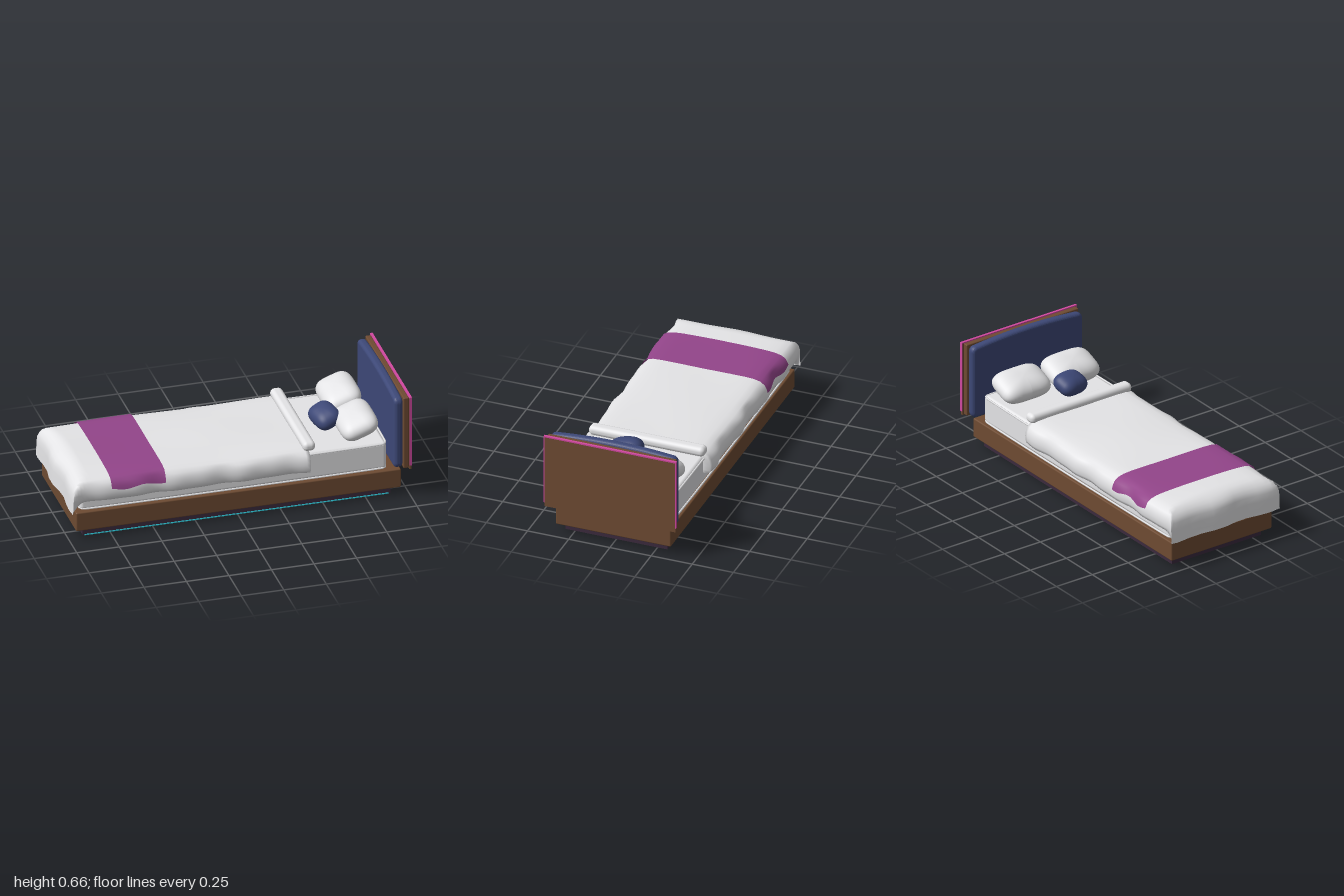
import * as THREE from 'three';
import { RoundedBoxGeometry } from 'three/addons/geometries/RoundedBoxGeometry.js';

const mat = (name, color, side = THREE.FrontSide) => {
  const m = new THREE.MeshStandardMaterial({ color, side });
  m.name = name;
  return m;
};

export function createModel() {
  const bed = new THREE.Group();
  bed.name = 'bed';
  const linen = mat('white linen', 0xe4e4e6, THREE.DoubleSide);
  const wood = mat('brown wood', 0x6e4b32);
  const navy = mat('navy fabric', 0x3d4877);
  const purple = mat('purple runner', 0x93458a, THREE.DoubleSide);
  const dark = mat('dark plinth', 0x3b2a3d);
  const pink = mat('pink trim', 0xd0489f);
  const cyan = mat('cyan light strip', 0x30c8d8);

  const add = (name, geometry, material) => {
    const mesh = new THREE.Mesh(geometry, material);
    mesh.name = name;
    bed.add(mesh);
    return mesh;
  };
  // Box given by its limits, with optional rounded edges
  const box = (name, material, [x0, x1], [y0, y1], [z0, z1], r = 0) => {
    const size = [x1 - x0, y1 - y0, z1 - z0];
    const g = r ? new RoundedBoxGeometry(...size, 3, r) : new THREE.BoxGeometry(...size);
    g.translate((x0 + x1) / 2, (y0 + y1) / 2, (z0 + z1) / 2);
    return add(name, g, material);
  };

  // Base
  box('plinth', dark, [-0.91, 0.9], [0, 0.05], [-0.31, 0.31]);
  box('lightStrip', cyan, [-0.9, 0.89], [0, 0.006], [0.31, 0.314]);
  box('bedFrame', wood, [-0.96, 0.95], [0.05, 0.168], [-0.35, 0.35], 0.008);
  box('mattress', linen, [-0.93, 0.87], [0.172, 0.34], [-0.332, 0.332], 0.02);

  // Mattress piping, top and bottom
  const ring = [];
  for (const [sx, sz, start] of [[1, 1, 0], [-1, 1, 1], [-1, -1, 2], [1, -1, 3]]) {
    for (let i = 0; i <= 4; i++) {
      const a = (start + i / 4) * Math.PI / 2;
      ring.push(new THREE.Vector3(-0.03 + sx * 0.87 + 0.03 * Math.cos(a), 0,
        sz * 0.302 + 0.03 * Math.sin(a)));
    }
  }
  const pipe = new THREE.CatmullRomCurve3(ring, true);
  for (const y of [0.18, 0.332]) {
    add('mattressPiping', new THREE.TubeGeometry(pipe, 240, 0.006, 6, true), linen).position.y = y;
  }

  // Headboard
  box('headboardPanel', wood, [0.953, 0.985], [0.19, 0.64], [-0.39, 0.39], 0.006);
  box('headboardBack', wood, [0.985, 0.999], [0.185, 0.637], [-0.397, 0.397]);
  box('trimTop', pink, [0.985, 1], [0.637, 0.645], [-0.402, 0.402]);
  for (const s of [-1, 1]) {
    box('trimSide', pink, [0.985, 1], [0.21, 0.637], [s * 0.3995 - 0.0025, s * 0.3995 + 0.0025]);
  }

  // Padded headboard front with a gently bowed top
  const pad = new THREE.Shape();
  pad.moveTo(-0.35, 0.21);
  pad.lineTo(0.35, 0.21);
  pad.quadraticCurveTo(0.365, 0.21, 0.365, 0.225);
  pad.lineTo(0.365, 0.6);
  pad.quadraticCurveTo(0.365, 0.617, 0.35, 0.617);
  pad.quadraticCurveTo(0, 0.653, -0.35, 0.617);
  pad.quadraticCurveTo(-0.365, 0.617, -0.365, 0.6);
  pad.lineTo(-0.365, 0.225);
  pad.quadraticCurveTo(-0.365, 0.21, -0.35, 0.21);
  const padGeo = new THREE.ExtrudeGeometry(pad, {
    depth: 0.012, bevelSize: 0.02, bevelThickness: 0.02, bevelSegments: 5, curveSegments: 10,
  });
  padGeo.rotateY(Math.PI / 2).translate(0.921, 0, 0);
  add('headboardCushion', padGeo, navy);

  // Draped cloth section from the hem up to the centre line: z, y
  const half = [[0.345, 0.24], [0.368, 0.24], [0.376, 0.26], [0.378, 0.29], [0.373, 0.32],
    [0.36, 0.345], [0.338, 0.361], [0.3, 0.37], [0.24, 0.374], [0.16, 0.376], [0.08, 0.377], [0, 0.377]];
  const section = [...half, ...half.slice(0, -1).reverse().map(([z, y]) => [-z, y])];

  // Skin a grid of points given by rows
  const skin = (rows) => {
    const n = rows[0].length, index = [];
    for (let i = 0; i < rows.length - 1; i++) {
      for (let j = 0; j < n - 1; j++) {
        const a = i * n + j, b = a + n;
        index.push(a, b, a + 1, b, b + 1, a + 1);
      }
    }
    const g = new THREE.BufferGeometry();
    g.setAttribute('position', new THREE.Float32BufferAttribute(rows.flat(2), 3));
    g.setIndex(index);
    g.computeVertexNormals();
    return g;
  };
  // Soft folds along the bed
  const ripple = (x, s) => 0.006 * Math.sin(x * 17 + s) + 0.003 * Math.sin(x * 31 + 2 * s);
  const drape = (x, [z, y], lift = 0) => {
    const side = Math.abs(z) / 0.378;
    const fold = side > 0.9 ? ripple(x, z > 0 ? 0.6 : 2.2) : 0;
    const puff = side < 0.9 ? 0.003 * Math.sin(x * 7 + 2) * Math.cos(z * 9) : 0;
    return [x, y + puff + (y > 0.3 ? lift : 0), z + Math.sign(z) * (fold + lift * side)];
  };

  // Duvet: foot end curls over and hangs, head end closes onto the mattress
  const rows = [];
  const foot = [[-1, 0.178], [-0.998, 0.21], [-0.996, 0.26], [-0.992, 0.3], [-0.98, 0.326],
    [-0.962, 0.345], [-0.94, 0.36], [-0.915, 0.37]];
  for (const [x, top] of foot) {
    const t = (x + 0.915) / -0.085;
    rows.push(section.map((p) => {
      const hem = 0.24 - 0.062 * t * t;
      const y = p[1] <= 0.241 ? Math.min(hem, top) : Math.min(p[1], top);
      const q = drape(x, [p[0], y]);
      q[0] += 0.012 * t * (1 - Math.cos(p[0] * 17 + 0.6) * Math.cos(p[0] * 4));
      q[0] = Math.max(q[0], -1);
      return q;
    }));
  }
  for (let i = 0; i <= 60; i++) {
    const x = -0.89 + i * 1.3 / 60;
    rows.push(section.map((p) => drape(x, p)));
  }
  rows.push(section.map(([z, y]) => [0.412, Math.min(y, 0.338), z * 0.875]));
  add('duvet', skin(rows), linen);

  // Rolled fold at the head of the duvet
  box('duvetFold', linen, [0.377, 0.45], [0.356, 0.414], [-0.352, 0.352], 0.026);

  // Runner across the foot, following the duvet
  const runner = [];
  for (let i = 0; i <= 16; i++) {
    const x = -0.76 + i * 0.02;
    const hem = 0.315 + 0.008 * Math.sin(x * 30);
    runner.push(section.map(([z, y]) => drape(x, [z, y], 0.006))
      .filter((p, j) => section[j][1] > 0.28)
      .map((p, j, all) => (j === 0 || j === all.length - 1 ? [p[0], hem - 0.006, p[2]] : p)));
  }
  add('runner', skin(runner), purple);

  // Pillows: a sphere squared in plan and kept thin at the edges
  const pillow = (name, material, size, pos, rot, power) => {
    const g = new THREE.SphereGeometry(1, 36, 24);
    const p = g.attributes.position;
    const square = (v) => Math.sign(v) * Math.abs(v) ** power;
    for (let i = 0; i < p.count; i++) {
      const x = p.getX(i), y = p.getY(i), z = p.getZ(i);
      const r = Math.hypot(x, z) || 1;
      const k = r ** 0.8;
      p.setXYZ(i, square(x / r) * k * size[0], y * size[1], square(z / r) * k * size[2]);
    }
    g.computeVertexNormals();
    const m = add(name, g, material);
    m.position.set(...pos);
    m.rotation.set(...rot);
  };
  for (const s of [-1, 1]) {
    pillow('pillow', linen, [0.113, 0.072, 0.162], [0.732, 0.422, s * 0.17], [0, 0, 0.36], 0.5);
  }
  pillow('smallCushion', navy, [0.078, 0.058, 0.1], [0.583, 0.418, 0.064], [0.1, 0.25, 0.35], 0.65);

  return bed;
}
